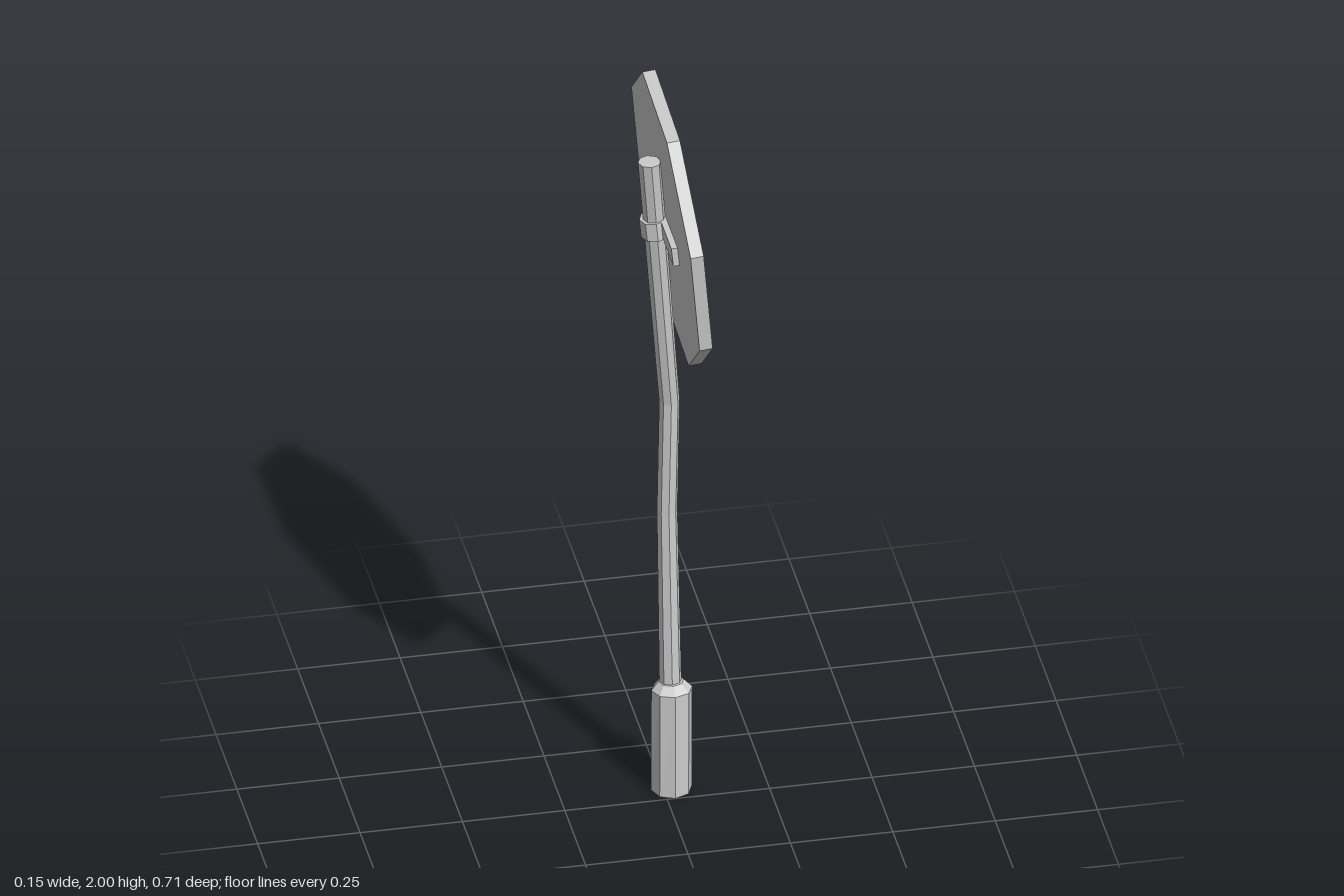
import * as THREE from 'three';

const SIDES = 8;
const TILT = 0.097;
const material = new THREE.MeshStandardMaterial({ color: 0xcccccc, flatShading: true });

function addMesh(parent, name, geometry) {
  const mesh = new THREE.Mesh(geometry, material);
  mesh.name = name;
  parent.add(mesh);
  return mesh;
}

// Capped octagonal tube through level rings, listed bottom to top as [y, x, z, radiusX, radiusZ]
function ringTube(rings) {
  const last = rings.length - 1;
  const geometry = new THREE.CylinderGeometry(1, 1, last, SIDES, last);
  const p = geometry.attributes.position;
  for (let i = 0; i < p.count; i++) {
    const [y, x, z, rx, rz = rx] = rings[Math.round(p.getY(i) + last / 2)];
    p.setXYZ(i, x + p.getX(i) * rx, y, z + p.getZ(i) * rz);
  }
  geometry.computeVertexNormals();
  return geometry;
}

export function createModel() {
  const model = new THREE.Group();
  model.name = 'bentRoadSign';

  // Ground sleeve with a chamfered shoulder
  addMesh(model, 'baseSleeve', ringTube([
    [0, 0.02, -0.05, 0.05],
    [0.285, 0.02, -0.044, 0.05, 0.044],
    [0.305, 0.019, -0.048, 0.031, 0.028],
  ]));

  // Pole, kinked where it has been bent over
  addMesh(model, 'pole', ringTube([
    [0.29, 0.018, -0.05, 0.027, 0.024],
    [0.78, 0.012, -0.06, 0.025, 0.022],
    [1.09, 0.017, -0.058, 0.025, 0.024],
    [1.82, -0.047, 0.017, 0.028],
  ]));

  // Octagonal plate facing +x, leaning back
  const head = new THREE.Group();
  head.name = 'signHead';
  head.position.set(0.0116, 1.6435, 0);
  head.rotation.z = TILT;
  model.add(head);
  const plate = new THREE.CylinderGeometry(0.371, 0.371, 0.032, SIDES);
  plate.rotateZ(-Math.PI / 2);
  plate.rotateX(THREE.MathUtils.degToRad(28));
  addMesh(head, 'signPlate', plate);

  // Strap across the back of the plate and the collar gripping the pole
  const strap = addMesh(head, 'mountingStrap', new THREE.BoxGeometry(0.016, 0.05, 0.32));
  strap.position.set(-0.023, -0.014, -0.01);
  const collar = addMesh(head, 'poleCollar', new THREE.CylinderGeometry(0.035, 0.035, 0.05, SIDES));
  collar.position.set(-0.044, -0.014, -0.002);

  return model;
}
